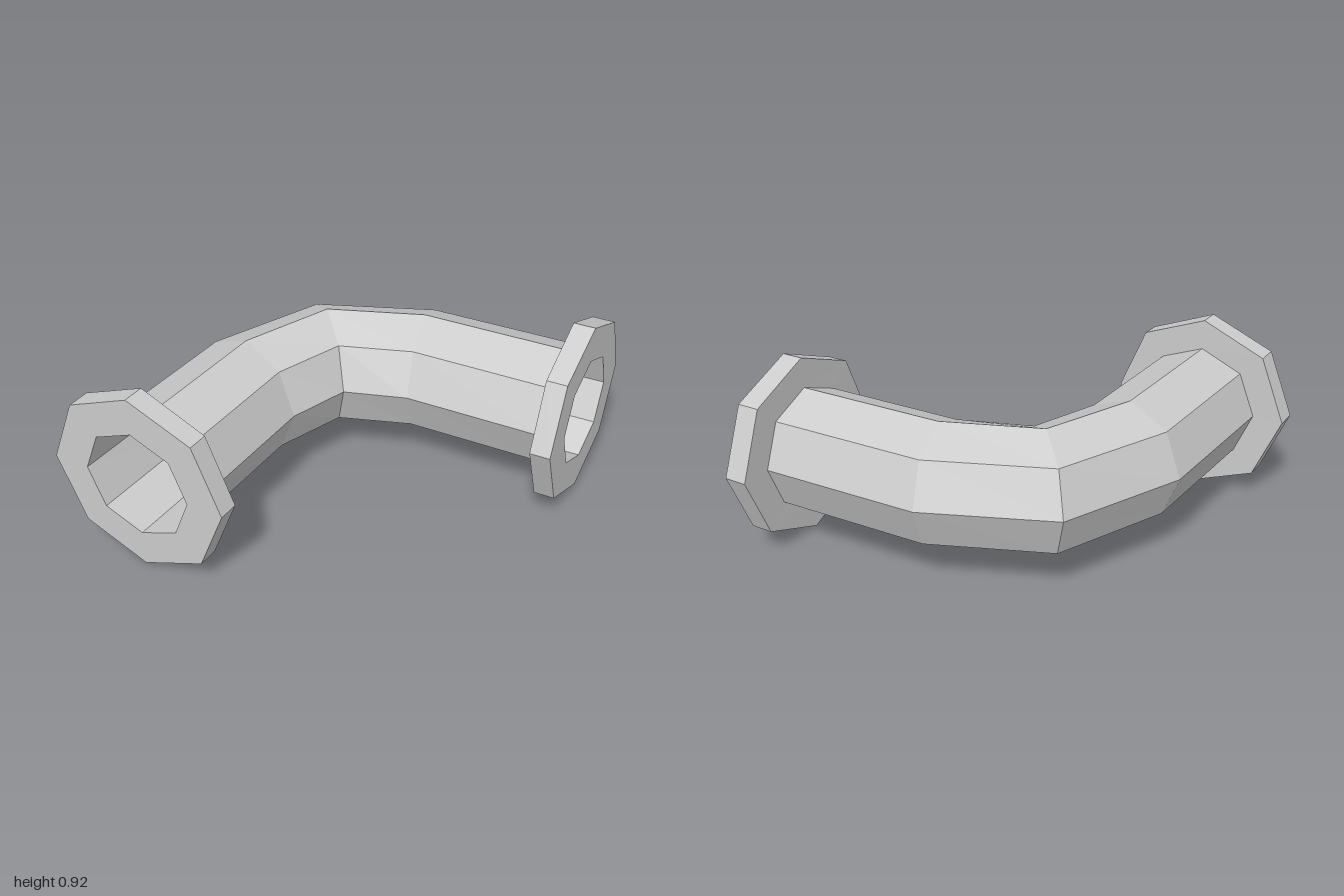
import * as THREE from 'three';

const SIDES = 8;
const CY = 0.462;   // height of the pipe axis
const R = 0.306;    // pipe radius
const BORE = 0.277; // bore radius

// A ring: centre (x, z), sideways half-width vector (vx, vz), vertical radius r
const ring = (x, z, vx, vz, r) => ({ x, z, vx, vz, r });
const scaled = (q, s) => ring(q.x, q.z, q.vx * s, q.vz * s, q.r * s);
// The elbow is symmetric about the diagonal x = z
const swap = (q) => ring(q.z, q.x, q.vz, q.vx, q.r);

// Skin octagonal rings in order
function loft(rings) {
  const pos = [], idx = [];
  for (const q of rings) {
    for (let j = 0; j < SIDES; j++) {
      const a = (j / SIDES) * Math.PI * 2;
      const c = Math.cos(a);
      pos.push(q.x + q.vx * c, CY + q.r * Math.sin(a), q.z + q.vz * c);
    }
  }
  for (let i = 0; i < rings.length - 1; i++) {
    for (let j = 0; j < SIDES; j++) {
      const k = (j + 1) % SIDES;
      const a = i * SIDES + j, b = i * SIDES + k;
      idx.push(a, a + SIDES, b, b, a + SIDES, b + SIDES);
    }
  }
  const g = new THREE.BufferGeometry();
  g.setAttribute('position', new THREE.Float32BufferAttribute(pos, 3));
  g.setIndex(idx);
  const flat = g.toNonIndexed();
  flat.computeVertexNormals();
  return flat;
}

export function createModel() {
  const group = new THREE.Group();
  const material = new THREE.MeshStandardMaterial({ color: 0xcccccc, flatShading: true });
  const add = (name, rings) => {
    const mesh = new THREE.Mesh(loft(rings), material);
    mesh.name = name;
    group.add(mesh);
  };

  // Mitred rings along the elbow, front opening to side opening
  const back = ring(-0.535, 0.893, R, 0.005, R);
  const front = ring(-0.54, 1, R, 0, R);
  const bend = ring(-0.503, 0.14, 0.298, 0.06, R);
  const middle = ring(-0.315, -0.315, 0.215, 0.215, R);
  const path = [back, bend, middle, swap(bend), swap(back)];
  add('pipe', path);

  // Inner wall, wound the other way so it faces the axis
  const inner = [front, bend, middle, swap(bend), swap(front)];
  add('bore', inner.map((q) => scaled(q, BORE / R)).reverse());

  // Flange: front face, rim and back face
  const flange = [
    scaled(front, BORE / R),
    ring(-0.54, 1, 0.46, 0, 0.46),
    ring(-0.537, 0.893, 0.461, 0.008, 0.46),
    back,
  ];
  add('frontFlange', flange);
  add('sideFlange', flange.map(swap).reverse());

  return group;
}
